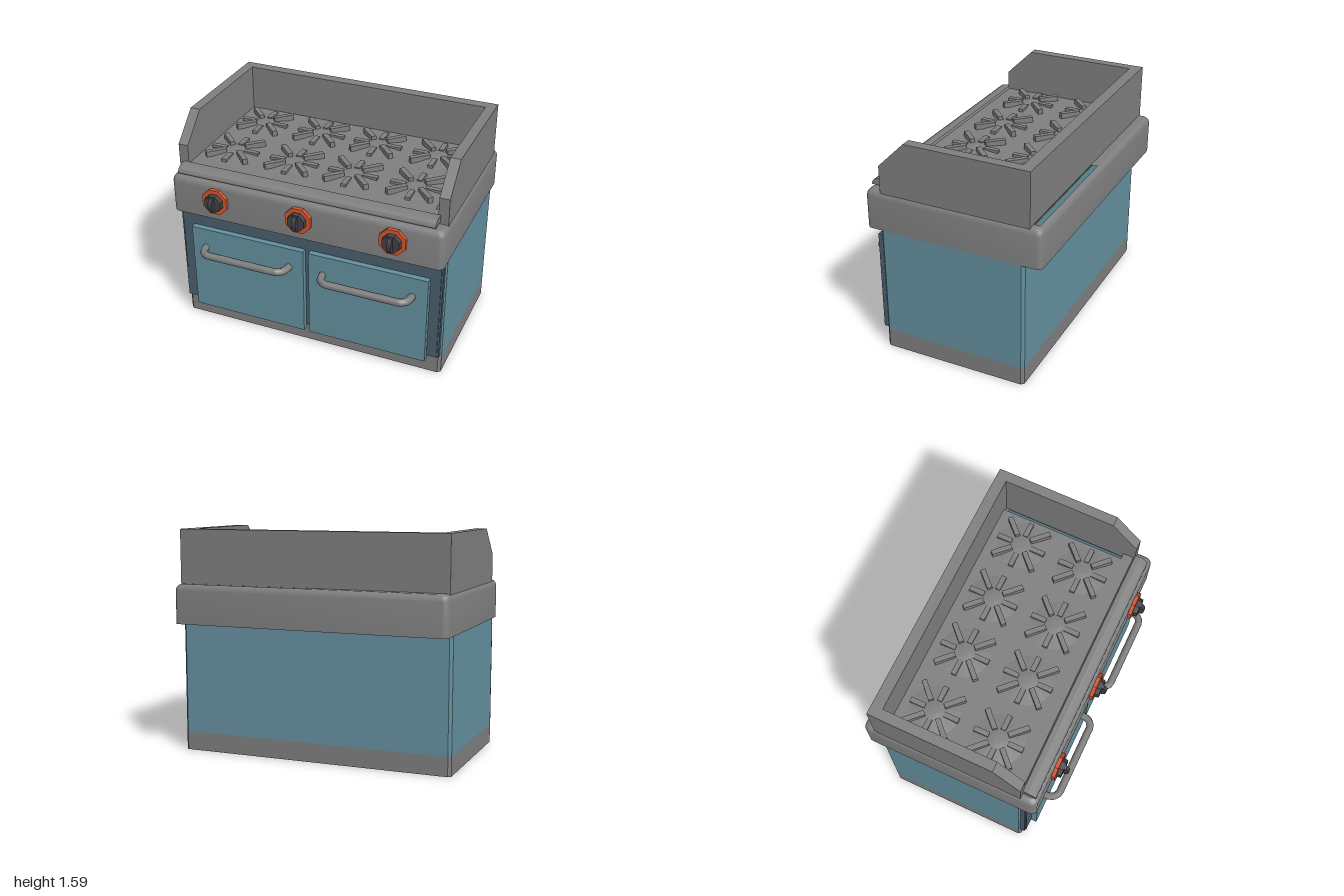
import * as THREE from 'three';
import { toCreasedNormals } from 'three/addons/utils/BufferGeometryUtils.js';

const mat = (name, color, side = THREE.FrontSide) => {
  const m = new THREE.MeshStandardMaterial({ color, side });
  m.name = name;
  return m;
};

export function createModel() {
  const root = new THREE.Group();
  root.name = 'stove';
  const steel = mat('steel grey', 0x7f7f7f, THREE.DoubleSide);
  const blue = mat('enamel blue', 0x64909f, THREE.DoubleSide);
  const navy = mat('dark blue', 0x4a5e6c);
  const orange = mat('orange', 0xd4552d);
  const black = mat('knob charcoal', 0x404047);

  const add = (name, geo, material, parent = root) => {
    const m = new THREE.Mesh(geo, material);
    m.name = name;
    parent.add(m);
    return m;
  };
  // Box given by its limits
  const box = (name, x0, x1, y0, y1, z0, z1, material, parent) => {
    const m = add(name, new THREE.BoxGeometry(x1 - x0, y1 - y0, z1 - z0), material, parent);
    m.position.set((x0 + x1) / 2, (y0 + y1) / 2, (z0 + z1) / 2);
    return m;
  };
  // Rectangle outline in x and z with cut or rounded corners
  const outline = (x, z0, z1, r, steps) => {
    const pts = [];
    [[x - r, z1 - r], [-x + r, z1 - r], [-x + r, z0 + r], [x - r, z0 + r]].forEach(([cx, cz], i) => {
      for (let k = 0; k <= steps; k++) {
        const a = (i + k / steps) * Math.PI / 2;
        pts.push(new THREE.Vector2(cx + r * Math.cos(a), cz + r * Math.sin(a)));
      }
    });
    return pts;
  };
  // Open shell through stacked outlines: [y, points]
  const shell = (rings) => {
    const pos = [], idx = [], n = rings[0][1].length;
    rings.forEach(([y, pts]) => pts.forEach((p) => pos.push(p.x, y, p.y)));
    for (let r = 0; r < rings.length - 1; r++) {
      for (let i = 0; i < n; i++) {
        const a = r * n + i, b = r * n + (i + 1) % n;
        idx.push(a, a + n, b, b, a + n, b + n);
      }
    }
    const g = new THREE.BufferGeometry();
    g.setAttribute('position', new THREE.Float32BufferAttribute(pos, 3));
    g.setIndex(idx);
    return toCreasedNormals(g, 0.7);
  };
  // Side profile of [z, y] points extruded from x0 to x1
  const profile = (pts, x0, x1) => {
    const s = new THREE.Shape(pts.map(([z, y]) => new THREE.Vector2(z, y)));
    const g = new THREE.ExtrudeGeometry(s, { depth: x1 - x0, bevelEnabled: false });
    return g.rotateY(-Math.PI / 2).translate(x1, 0, 0);
  };

  // Cabinet, open below, with a steel plinth
  const body = outline(0.995, -0.57, 0.49, 0.02, 1);
  add('plinth', shell([[0, body], [0.135, body]]), steel);
  add('cabinet', shell([[0.135, body], [1.15, body]]), blue);
  const lining = add('frontLining', new THREE.PlaneGeometry(1.94, 0.14), blue);
  lining.position.set(0, 0.07, 0.483);

  // Hollow hood with rounded upper edge and slotted top
  const hoodRing = (y, d) => [y, outline(0.998 - d, -0.69 + d, 0.595 - d, 0.04, 4)];
  add('hood', shell([hoodRing(0.93, 0), hoodRing(1.165, 0), hoodRing(1.188, 0.005),
    hoodRing(1.203, 0.016), hoodRing(1.21, 0.032)]), steel);
  const top = new THREE.Shape(hoodRing(0, 0.032)[1]);
  [[0.87, 0.912, -0.5, 0.395], [0, 0.934, -0.65, -0.61]].forEach(([x0, x1, z0, z1]) => {
    top.holes.push(new THREE.Path([[x0, z0], [x0, z1], [x1, z1], [x1, z0]]
      .map(([x, z]) => new THREE.Vector2(x, z))));
  });
  add('hoodTop', new THREE.ShapeGeometry(top).rotateX(Math.PI / 2).translate(0, 1.21, 0), steel);

  // Three-sided splash guard
  const wing = [[-0.605, 1.2], [0.48, 1.2], [0.48, 1.4], [0.285, 1.593], [-0.605, 1.593]];
  add('leftSplashWall', profile(wing, 0.914, 0.986), steel);
  add('rightSplashWall', profile(wing, -0.986, -0.914), steel);
  box('backSplashWall', -0.914, 0.914, 1.2, 1.593, -0.605, -0.525, steel);

  // Hob plate with a rounded front lip
  const lip = [[0.575, 1.226], [0.575, 1.238], [0.566, 1.256], [0.545, 1.27], [0.515, 1.276]];
  add('hobPlate', profile([[-0.53, 1.215], [0.48, 1.215], [0.48, 1.226], ...lip,
    [0.48, 1.276], [0.47, 1.262], [-0.53, 1.262]], -0.95, 0.87), steel);
  add('hobCorner', profile([[0.395, 1.215], [0.48, 1.215], [0.48, 1.226], ...lip,
    [0.48, 1.276], [0.47, 1.262], [0.395, 1.262]], 0.87, 0.93), steel);

  // Eight burners with crossed supports
  for (const x of [-0.7, -0.24, 0.205, 0.66]) {
    for (const z of [-0.29, 0.185]) {
      const burner = new THREE.Group();
      burner.name = 'burner';
      burner.position.set(x, 1.262, z);
      root.add(burner);
      const disc = new THREE.CylinderGeometry(0.03, 0.18, 0.018, 16).toNonIndexed();
      disc.computeVertexNormals();
      add('burnerDisc', disc.translate(0, 0.009, 0), steel, burner);
      for (let i = 0; i < 8; i++) {
        const diagonal = i % 2 === 1, r1 = diagonal ? 0.22 : 0.18, h = diagonal ? 0.04 : 0.022;
        const arm = new THREE.BoxGeometry(r1 - 0.07, h, 0.036).translate((r1 + 0.07) / 2, h / 2, 0);
        add('burnerArm', arm.rotateY(i * Math.PI / 4), steel, burner);
      }
    }
  }

  // Door surround with bevelled edge, and two doors with bar handles
  box('doorSurround', -0.985, 0.985, 0.15, 0.89, 0.48, 0.515, navy);
  box('doorSurroundFace', -0.972, 0.972, 0.155, 0.882, 0.51, 0.523, navy);
  for (const [x0, x1, h0, h1] of [[-0.88, -0.01, -0.775, -0.12], [0.03, 0.9, 0.135, 0.79]]) {
    box('door', x0, x1, 0.13, 0.8, 0.515, 0.565, blue);
    const path = new THREE.CurvePath();
    const pts = [[h0, 0.56], [h0 + 0.005, 0.605], [h0 + 0.02, 0.64], [h0 + 0.055, 0.662],
      [h1 - 0.055, 0.662], [h1 - 0.02, 0.64], [h1 - 0.005, 0.605], [h1, 0.56]]
      .map(([x, z]) => new THREE.Vector3(x, 0.65, z));
    for (let i = 0; i < pts.length - 1; i++) path.add(new THREE.LineCurve3(pts[i], pts[i + 1]));
    add('handle', new THREE.TubeGeometry(path, 40, 0.027, 8), steel);
  }

  // Octagonal knobs with an upright grip
  const octagon = (r0, r1, z0, z1) => {
    const g = new THREE.CylinderGeometry(r1, r0, z1 - z0, 8).toNonIndexed();
    g.computeVertexNormals();
    return g.rotateY(Math.PI / 8).rotateX(Math.PI / 2).translate(0, 0, (z0 + z1) / 2);
  };
  for (const x of [-0.65, -0.02, 0.655]) {
    const knob = new THREE.Group();
    knob.name = 'knob';
    knob.position.set(x, 1.08, 0);
    root.add(knob);
    add('knobRing', octagon(0.1, 0.1, 0.58, 0.62), orange, knob);
    add('knobBase', octagon(0.07, 0.065, 0.62, 0.652), black, knob);
    add('knobGrip', profile([[0.64, -0.06], [0.665, -0.055], [0.682, -0.03], [0.688, 0],
      [0.682, 0.03], [0.665, 0.055], [0.64, 0.06]], -0.015, 0.015), black, knob);
  }
  return root;
}
